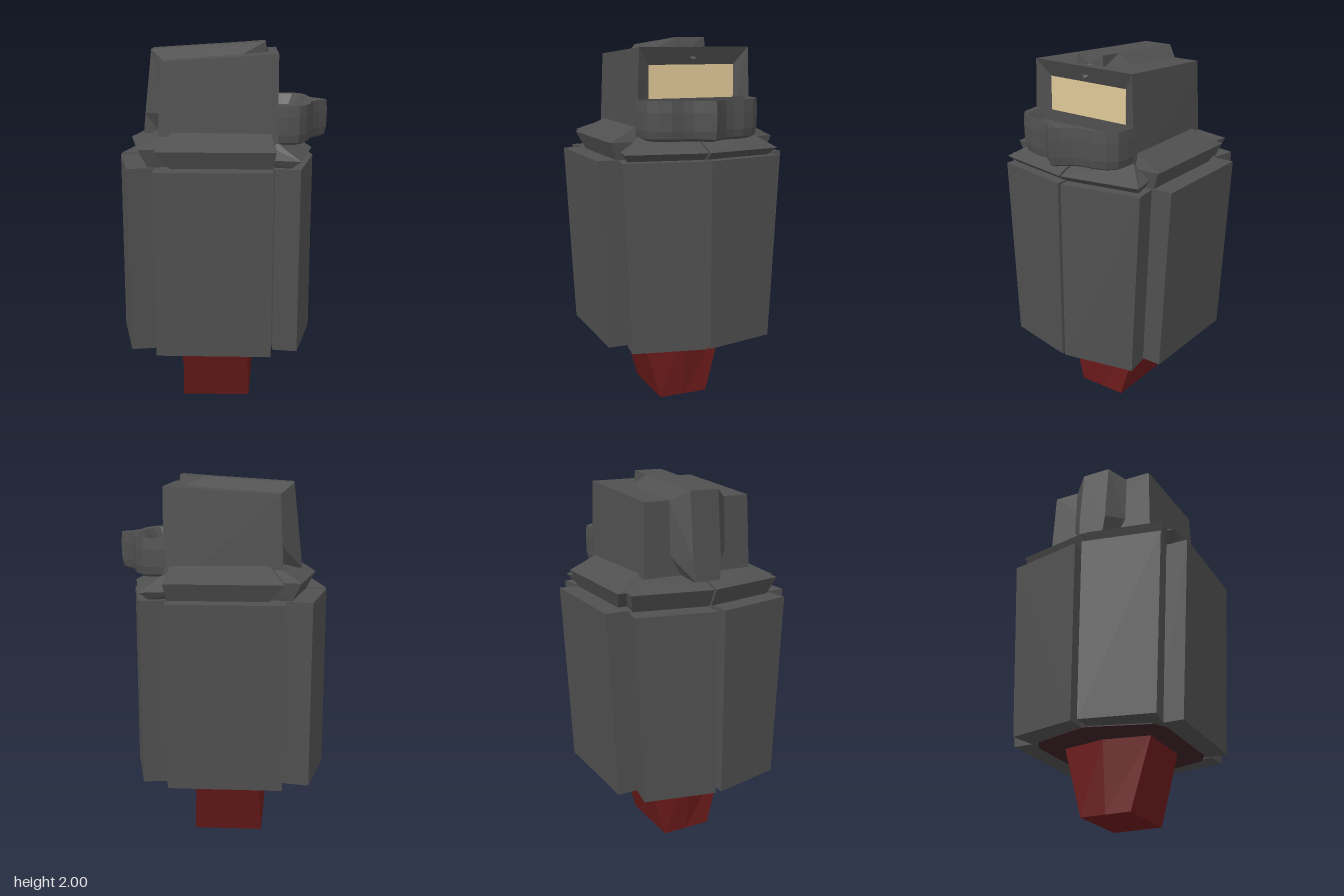
import * as THREE from 'three';

const mat = (color) => new THREE.MeshStandardMaterial({ color, flatShading: true });
const DARK = mat(0x505050), RED = mat(0x6b1a1a), UNDER = mat(0x3c2426), VISOR = mat(0xe0c898);

// Closed solid through rings of [x, y, z] points; ends are capped by fans
function loft(name, rings, material, capEnd = true) {
  const pos = [];
  const tri = (a, b, c) => pos.push(...a, ...b, ...c);
  const n = rings[0].length;
  const middle = (r) => [0, 1, 2].map((k) => r.reduce((s, p) => s + p[k], 0) / n);
  for (let i = 0; i + 1 < rings.length; i++) {
    for (let j = 0; j < n; j++) {
      const k = (j + 1) % n, a = rings[i], b = rings[i + 1];
      tri(a[j], a[k], b[k]);
      tri(a[j], b[k], b[j]);
    }
  }
  const first = rings[0], last = rings[rings.length - 1], m0 = middle(first), m1 = middle(last);
  for (let j = 0; j < n; j++) {
    const k = (j + 1) % n;
    tri(m0, first[k], first[j]);
    if (capEnd) tri(m1, last[j], last[k]);
  }
  // Turn the faces outward if the solid came out inverted
  const c = middle(rings.map((r) => middle(r)).concat(Array(Math.max(0, n - rings.length)).fill(middle(rings[0]))).slice(0, n));
  const v = (i) => new THREE.Vector3(pos[i] - c[0], pos[i + 1] - c[1], pos[i + 2] - c[2]);
  let volume = 0;
  for (let i = 0; i < pos.length; i += 9) volume += v(i).dot(v(i + 3).cross(v(i + 6)));
  if (volume < 0) {
    for (let i = 0; i < pos.length; i += 9) {
      for (let k = 0; k < 3; k++) [pos[i + 3 + k], pos[i + 6 + k]] = [pos[i + 6 + k], pos[i + 3 + k]];
    }
  }
  const g = new THREE.BufferGeometry();
  g.setAttribute('position', new THREE.Float32BufferAttribute(pos, 3));
  g.computeVertexNormals();
  const mesh = new THREE.Mesh(g, material);
  mesh.name = name;
  return mesh;
}

// Ring at height y from [x, z] pairs
const ring = (y, pts, side = 1, zScale = 1) => pts.map(([x, z]) => [x, y, z * side * zScale]);

export function createModel() {
  const model = new THREE.Group();
  const add = (...args) => model.add(loft(...args));
  const Y0 = 0.385, Y1 = 1.385, TAPER = 0.905;
  const panel = (name, pts, side) =>
    add(name, [ring(Y0, pts, side, TAPER), ring(Y1, pts, side)], DARK);

  // Tapered peg under the body
  add('basePeg', [
    ring(0, [[-0.225, -0.14], [-0.225, 0], [-0.225, 0.14], [0.15, 0.14], [0.15, 0], [0.15, -0.14]]),
    ring(0.39, [[-0.21, -0.25], [-0.26, 0], [-0.21, 0.25], [0.135, 0.25], [0.18, 0], [0.135, -0.25]]),
  ], RED);

  // Body core and its underside
  const core = [[-0.46, -0.02], [-0.36, -0.38], [-0.28, -0.43], [0.22, -0.43], [0.3, -0.38], [0.41, -0.02],
    [0.41, 0.02], [0.3, 0.38], [0.22, 0.43], [-0.28, 0.43], [-0.36, 0.38], [-0.46, 0.02]];
  add('bodyCore', [ring(0.4, core, 1, TAPER), ring(Y1 - 0.005, core)], DARK);
  add('underside', [ring(0.38, core, 1, 0.85), ring(0.4, core, 1, 0.85)], UNDER);

  for (const s of [1, -1]) {
    const tag = s > 0 ? 'Left' : 'Right';
    // Armour slabs around the body
    panel('sidePanel' + tag, [[-0.34, 0.38], [-0.34, 0.53], [0.265, 0.53], [0.265, 0.38]], s);
    panel('rearPlate' + tag, [[-0.42, 0.015], [-0.567, 0.02], [-0.48, 0.44], [-0.335, 0.41]], s);
    panel('frontPlate' + tag, [[0.36, 0.005], [0.49, 0.01], [0.405, 0.44], [0.275, 0.42]], s);

    // Collar flaps, widest at mid height
    const sideFlap = (y, x0, x1, z) => ring(y, [[x0, 0.2], [x0, z], [x1, z], [x1, 0.2]], s);
    add('sideCollar' + tag, [
      sideFlap(1.385, -0.26, 0.265, 0.425),
      sideFlap(1.475, -0.335, 0.28, 0.46),
      sideFlap(1.55, -0.26, 0.255, 0.315),
    ], DARK);
    const endFlap = (y, xIn, x0, x1, z) => ring(y, [[xIn, 0.006], [x0, 0.006], [x1, z], [xIn, z * 0.9]], s);
    add('rearCollar' + tag, [
      endFlap(1.385, -0.2, -0.455, -0.375, 0.4),
      endFlap(1.48, -0.2, -0.505, -0.42, 0.43),
      endFlap(1.53, -0.2, -0.34, -0.325, 0.32),
    ], DARK);
    add('frontCollar' + tag, [
      endFlap(1.385, 0.2, 0.43, 0.36, 0.4),
      endFlap(1.425, 0.2, 0.485, 0.405, 0.43),
      endFlap(1.5, 0.2, 0.3, 0.29, 0.32),
    ], DARK);
  }

  // Head, with the front sunk towards the visor
  const frame = (xTop, xLow, yTop, yLow, zTop, zLow) =>
    [[xTop, yTop, zTop], [xTop, yTop, -zTop], [xLow, yLow, -zLow], [xLow, yLow, zLow]];
  add('head', [
    frame(-0.31, -0.335, 1.91, 1.39, 0.3, 0.315),
    frame(0.29, 0.29, 1.95, 1.39, 0.305, 0.325),
    frame(0.25, 0.25, 1.86, 1.6, 0.24, 0.24),
  ], DARK, false);
  const visor = new THREE.Mesh(new THREE.BoxGeometry(0.02, 0.26, 0.48), VISOR);
  visor.position.set(0.241, 1.73, 0);
  visor.name = 'visor';
  model.add(visor);

  // Crest over the top and down the back of the head
  const rib = (bx, by, tx, ty, w, t = 0.08) =>
    [[bx, by, -w], [tx, ty, -t], [tx, ty, t], [bx, by, w], [bx + 0.05, by - 0.05, 0]];
  add('crest', [
    rib(0.23, 1.935, 0.225, 2.0, 0.085),
    rib(0.09, 1.93, 0.09, 1.99, 0.16),
    rib(-0.31, 1.905, -0.38, 1.96, 0.16),
    rib(-0.325, 1.63, -0.418, 1.62, 0.16),
    rib(-0.33, 1.5, -0.43, 1.51, 0.085, 0.07),
  ], DARK);

  // Jaw guard with a pointed chin and a dished top
  const half = [[0.28, 0.322], [0.34, 0.318], [0.4, 0.308], [0.44, 0.265], [0.465, 0.2],
    [0.47, 0.14], [0.485, 0.09], [0.52, 0.045]];
  const outline = [...half, [0.564, 0], ...half.slice().reverse().map(([x, z]) => [x, -z])];
  const jaw = (y, k) => ring(y, outline.map(([x, z]) => [0.28 + (x - 0.28) * k, z * (0.4 + 0.6 * k)]));
  add('jawGuard', [jaw(1.485, 0.82), jaw(1.5, 0.95), jaw(1.54, 0.99), jaw(1.63, 1), jaw(1.69, 0.98),
    jaw(1.685, 0.88), jaw(1.63, 0.7)], DARK);

  return model;
}
